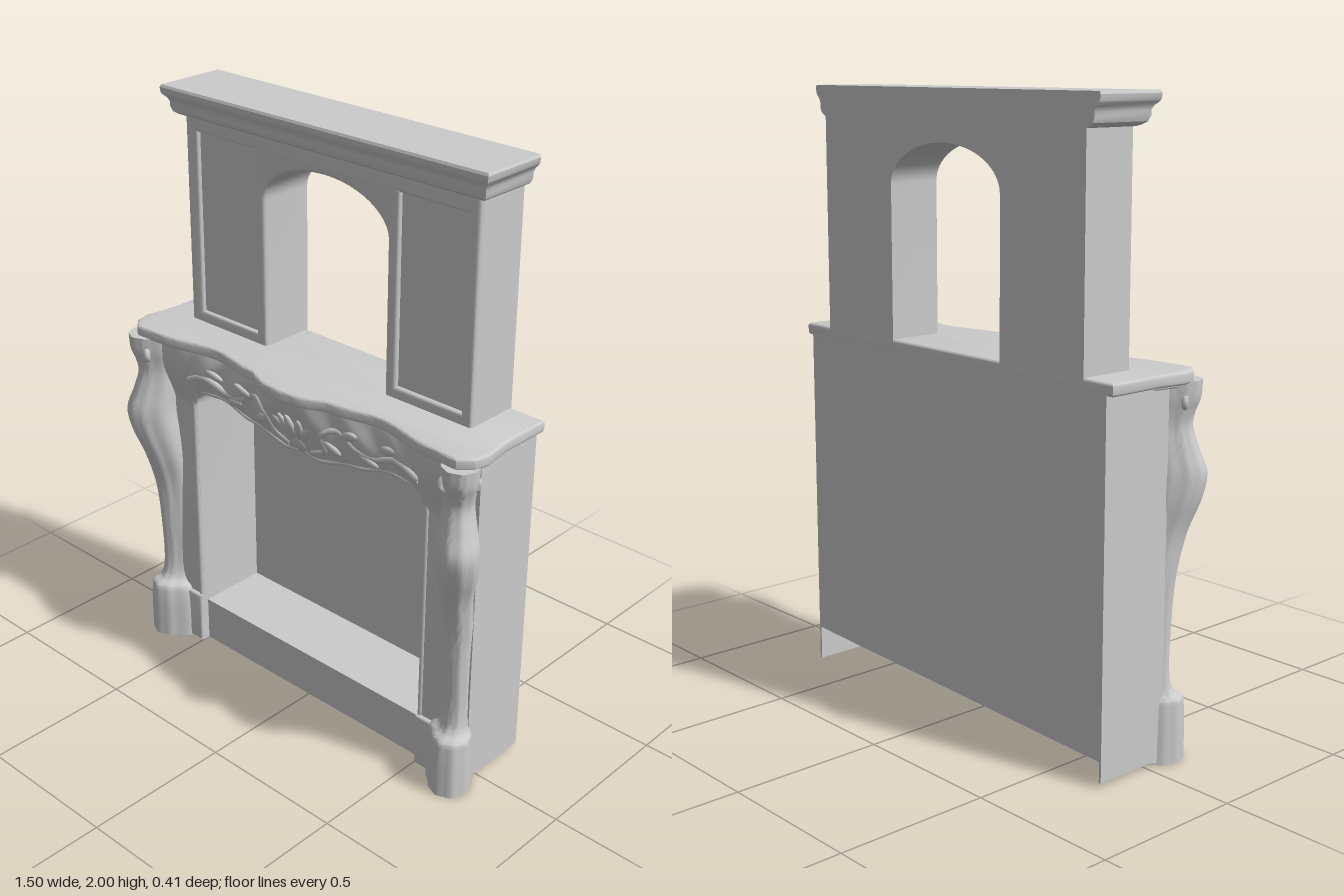
import * as THREE from 'three';
import { toCreasedNormals } from 'three/addons/utils/BufferGeometryUtils.js';
import { ParametricGeometry } from 'three/addons/geometries/ParametricGeometry.js';

const grey = new THREE.MeshStandardMaterial({ color: 0xcccccc, side: THREE.DoubleSide });

// Smooth interpolation through [position, value] knots
function ease(knots, t) {
  for (let i = 1; i < knots.length; i++) {
    const [a, va] = knots[i - 1], [b, vb] = knots[i];
    if (t <= b) return va + (vb - va) * THREE.MathUtils.smoothstep(t, a, b);
  }
  return knots[knots.length - 1][1];
}
// Serpentine shelf front (z) by distance from the middle
const shelfZ = x => ease([[0, 0.196], [0.06, 0.19], [0.18, 0.15], [0.35, 0.122], [0.57, 0.16], [0.66, 0.167]], Math.abs(x));
// Top of the firebox opening, with rounded upper corners
function openY(x) {
  const ax = Math.min(Math.abs(x), 0.5), d = Math.max(0, ax - 0.44);
  return ease([[0, 0.947], [0.06, 0.938], [0.22, 0.972], [0.36, 1.006], [0.44, 1.0]], ax) - 0.06 + Math.sqrt(Math.max(0, 0.0036 - d * d));
}
// Frieze surface: flares from the opening up to the shelf, with soft carving
function friezeZ(x, y) {
  const ax = Math.abs(x), v = THREE.MathUtils.clamp((y - openY(x)) / (1.17 - openY(x)), 0, 1);
  const carve = 0.006 * Math.sin(v * Math.PI) * Math.sin(ax * 42 + v * 5) * (1 - THREE.MathUtils.smoothstep(ax, 0.45, 0.55));
  return 0.08 + (shelfZ(x) - 0.105) * v * v * (2 - v) + 0.02 * Math.sin(v * Math.PI) + carve;
}
// Points along the top of the opening, left edge to right edge, closer together at the corners
const archPoints = n => Array.from({ length: n + 1 }, (_, i) => {
  const x = 0.5 * Math.sin((i / n - 0.5) * Math.PI);
  return new THREE.Vector2(x, openY(x));
});

function extrude(shape, z0, z1, bevel = 0) {
  const g = new THREE.ExtrudeGeometry(shape, {
    depth: z1 - z0 - bevel, bevelEnabled: bevel > 0, bevelThickness: bevel, bevelSize: bevel,
    bevelOffset: -bevel, bevelSegments: 3, curveSegments: 20,
  });
  return g.translate(0, 0, z0);
}
const rectPath = (P, x0, x1, y0, y1) => new P([
  [x0, y0], [x1, y0], [x1, y1], [x0, y1]].map(p => new THREE.Vector2(...p)));

// Skins closed rings stacked upward, with flat end caps
function loft(rings, crease = 0.7) {
  const n = rings[0].length, pos = [];
  const tri = (...pts) => pts.forEach(p => pos.push(p.x, p.y, p.z));
  for (let i = 0; i < rings.length - 1; i++) for (let j = 0; j < n; j++) {
    const k = (j + 1) % n, lo = rings[i], hi = rings[i + 1];
    tri(lo[j], hi[j], lo[k]);
    tri(lo[k], hi[j], hi[k]);
  }
  const lo = rings[0], hi = rings[rings.length - 1];
  for (let j = 1; j < n - 1; j++) {
    tri(lo[0], lo[j], lo[j + 1]);
    tri(hi[0], hi[j + 1], hi[j]);
  }
  const g = new THREE.BufferGeometry();
  g.setAttribute('position', new THREE.Float32BufferAttribute(pos, 3));
  return toCreasedNormals(g, crease);
}

// Console leg: lobed sections whose backs stretch in to meet the body
function legGeometry(side) {
  const stations = [[0, 0.655, 0.1, 0.066], [0.17, 0.655, 0.1, 0.063], [0.2, 0.657, 0.098, 0.058], [0.215, 0.655, 0.085, 0.045],
    [0.25, 0.653, 0.076, 0.038], [0.45, 0.651, 0.078, 0.038], [0.6, 0.654, 0.087, 0.043], [0.72, 0.661, 0.112, 0.05],
    [0.82, 0.682, 0.135, 0.058], [0.9, 0.69, 0.145, 0.058], [0.97, 0.678, 0.133, 0.05], [1.04, 0.668, 0.125, 0.043],
    [1.08, 0.67, 0.128, 0.046], [1.12, 0.675, 0.135, 0.052], [1.175, 0.675, 0.136, 0.056]];
  const curve = k => new THREE.CatmullRomCurve3(stations.map(s => new THREE.Vector3(s[k], s[0], s[3])));
  const cx = curve(1), cz = curve(2), rings = [];
  for (let i = 0; i <= 70; i++) {
    const t = i / 70, a = cx.getPoint(t), b = cz.getPoint(t), ring = [];
    for (let j = 0; j < 36; j++) {
      const th = j / 36 * Math.PI * 2, c = Math.cos(th), s = Math.sin(th);
      const back = Math.max(0, -(c + s) * Math.SQRT1_2);
      const r = a.z * (1 + 0.035 * Math.cos(8 * (th - Math.PI / 4)) + 0.9 * back * back);
      ring.push(new THREE.Vector3(side * (a.x + r * c), a.y, b.x + r * s));
    }
    rings.push(side > 0 ? ring : ring.reverse());
  }
  return loft(rings, 1);
}

// Shelf slab drawn in plan and raised to height; inset gives the smaller moulding below
function shelfGeometry(inset, y0, y1, bevel) {
  const pts = [[-0.715, -0.2], [-0.715, -0.02], [-0.73, 0.08], [-0.72, 0.13]].map(
    ([x, z]) => new THREE.Vector2(x + inset, -z));
  for (let i = 0; i <= 80; i++) {
    const x = -0.68 + i * 0.017;
    pts.push(new THREE.Vector2(x, inset - shelfZ(x)));
  }
  pts.push(...pts.slice(0, 4).reverse().map(p => new THREE.Vector2(-p.x, p.y)));
  const g = extrude(new THREE.Shape(pts), y0, y1, bevel);
  return toCreasedNormals(g.rotateX(-Math.PI / 2), 0.6);
}

export function createModel() {
  const model = new THREE.Group();
  const add = (name, geo, parent = model) => {
    const m = new THREE.Mesh(geo, grey);
    m.name = name;
    parent.add(m);
    return m;
  };
  const box = (name, x0, x1, y0, y1, z0, z1) => add(name,
    new THREE.BoxGeometry(x1 - x0, y1 - y0, z1 - z0).translate((x0 + x1) / 2, (y0 + y1) / 2, (z0 + z1) / 2));

  // Firebox body, with its underside sloping up to the back
  const body = rectPath(THREE.Shape, -0.69, 0.69, 0, 1.18);
  body.holes.push(new THREE.Path([new THREE.Vector2(-0.5, 0.16), ...archPoints(60), new THREE.Vector2(0.5, 0.16)]));
  const bodyGeo = extrude(body, -0.185, 0.06), p = bodyGeo.attributes.position;
  for (let i = 0; i < p.count; i++) if (p.getY(i) < 0.001 && p.getZ(i) < -0.1) p.setY(i, p.getX(i) > 0 ? 0.13 : 0.08);
  bodyGeo.computeVertexNormals();
  add('fireboxBody', toCreasedNormals(bodyGeo, 0.5));
  const wall = new THREE.Shape([[-0.69, 0.08], [0.69, 0.13], [0.69, 1.18], [-0.69, 1.18]].map(q => new THREE.Vector2(...q)));
  add('backWall', extrude(wall, -0.2, -0.185));
  for (const s of [-1, 1]) {
    const x = s * 0.686;
    box('sideSkirt', x - 0.004, x + 0.004, 0.015, 0.2, -0.2, 0.03);
  }

  // Surround: jambs and lintel around the opening
  const surround = new THREE.Shape([[0.5, 0], [0.64, 0], [0.64, 1.18], [-0.64, 1.18], [-0.64, 0], [-0.5, 0]]
    .map(q => new THREE.Vector2(...q)).concat(archPoints(60)));
  add('surround', toCreasedNormals(extrude(surround, 0.04, 0.08, 0.006), 0.6));
  const jamb = s => Array.from({ length: 8 }, (_, i) => new THREE.Vector2(s * 0.5, 0.17 + i * 0.1));
  const rim = [...jamb(-1), ...archPoints(50), ...jamb(1).reverse()]
    .map(q => new THREE.Vector3(q.x * 1.02, q.y + 0.008, 0.077));
  add('openingMoulding', new THREE.TubeGeometry(new THREE.CatmullRomCurve3(rim, false, 'centripetal'), 160, 0.009, 8));
  for (const s of [-1, 1]) {
    const plinth = rectPath(THREE.Shape, s * 0.55 - 0.05, s * 0.55 + 0.05, 0, 0.19);
    add('jambPlinth', toCreasedNormals(extrude(plinth, 0.05, 0.095, 0.01), 0.6));
  }

  // Serpentine frieze under the shelf
  add('frieze', new ParametricGeometry((u, v, out) => {
    const x = -0.64 + u * 1.28, y0 = openY(x), y = y0 + (1.175 - y0) * v;
    out.set(x, y, friezeZ(x, y));
  }, 140, 24));

  // Low carved shell, scrolls and leaves on the frieze
  const carving = new THREE.Group();
  carving.name = 'friezeCarving';
  model.add(carving);
  const leaf = (x, y, length, width, angle, name = 'leaf') => {
    const m = add(name, new THREE.SphereGeometry(1, 16, 10), carving);
    m.scale.set(width, length, 0.012);
    m.position.set(x, y, friezeZ(x, y) - 0.002);
    m.rotation.set(0.45, 0, angle);
  };
  for (let i = -2; i <= 2; i++) leaf(i * 0.025, 1.06 - Math.abs(i) * 0.008, 0.055, 0.017, -i * 0.35, 'shellRib');
  leaf(0, 0.985, 0.035, 0.03, 0, 'shellBoss');
  for (const s of [-1, 1]) {
    const path = [[0.05, 0.97], [0.11, 1.0], [0.12, 1.07], [0.18, 1.1], [0.25, 1.06], [0.33, 1.05], [0.42, 1.08], [0.5, 1.05]]
      .map(([x, y]) => new THREE.Vector3(s * x, y, friezeZ(x, y) - 0.006));
    add('scroll', new THREE.TubeGeometry(new THREE.CatmullRomCurve3(path), 60, 0.012, 8), carving);
    [[0.15, 1.03, 0.9], [0.23, 1.1, -1.1], [0.29, 1.03, 1.2], [0.38, 1.1, -1.3]]
      .forEach(([x, y, a]) => leaf(s * x, y, 0.038, 0.018, s * a));
  }

  // Corner legs with scrolled capitals
  for (const s of [-1, 1]) {
    const leg = new THREE.Group();
    leg.name = s > 0 ? 'leftLeg' : 'rightLeg';
    model.add(leg);
    add('legShaft', legGeometry(s), leg);
    for (const [x, z] of [[0.7, 0.115], [0.645, 0.16]]) {
      const volute = add('capitalScroll', new THREE.TorusGeometry(0.019, 0.011, 8, 20), leg);
      volute.position.set(s * x, 1.115, z);
      volute.rotation.y = s * Math.PI / 4;
    }
  }

  // Mantel shelf and the moulding beneath it
  add('mantelShelf', shelfGeometry(0, 1.177, 1.208, 0.008));
  add('shelfMoulding', shelfGeometry(0.026, 1.163, 1.18, 0.006));

  // Overmantel with arched opening
  const over = new THREE.Shape();
  over.moveTo(-0.6, 1.2).lineTo(-0.25, 1.2).lineTo(-0.25, 1.7);
  over.absellipse(0.003, 1.7, 0.253, 0.138, Math.PI, 0, true);
  over.lineTo(0.256, 1.2).lineTo(0.592, 1.2).lineTo(0.592, 1.92).lineTo(-0.6, 1.92);
  add('overmantel', toCreasedNormals(extrude(over, -0.2, -0.022), 0.5));
  // Front layer with soft-edged sunken panels
  const frame = over.clone();
  for (const x of [-0.42, 0.425]) frame.holes.push(rectPath(THREE.Path, x - 0.126, x + 0.126, 1.245, 1.855));
  add('panelFrame', toCreasedNormals(extrude(frame, -0.03, -0.008, 0.012), 0.7));

  // Cornice: rectangles stepped outward along a moulded profile, a little deeper on one side
  const profile = [[1.9, 0], [1.905, 0.012], [1.914, 0.024], [1.93, 0.03], [1.945, 0.03], [1.958, 0.036], [1.968, 0.046],
    [1.975, 0.05], [1.992, 0.052], [2, 0.048]];
  add('cornice', loft(profile.map(([y, out]) => {
    const x0 = -0.6 - out, x1 = 0.59 + out, z = -0.012 + out;
    return [[x0, -0.2], [x1, -0.2], [x1, z - 0.007], [x0, z + 0.007]].map(([a, b]) => new THREE.Vector3(a, y, b));
  }), 0.5));

  return model;
}
